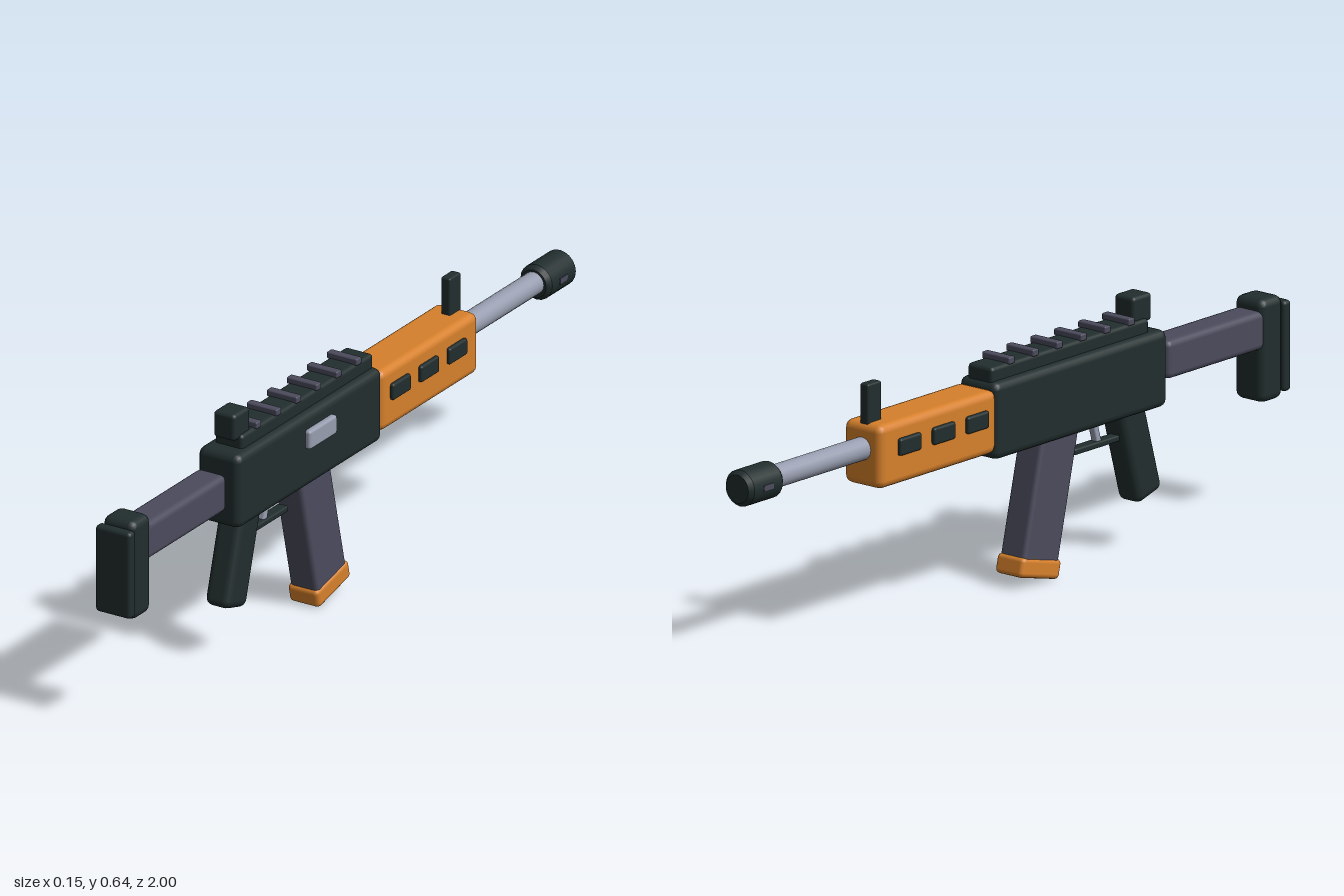
import * as THREE from 'three';
import { RoundedBoxGeometry } from 'three/addons/geometries/RoundedBoxGeometry.js';

function material(name, color) {
  const m = new THREE.MeshStandardMaterial({ color });
  m.name = name;
  return m;
}

export function createModel() {
  const model = new THREE.Group();
  model.name = 'rifle';
  const dark = material('darkGreenBlack', 0x212d2d);
  const slate = material('slatePurple', 0x4b4b5d);
  const orange = material('orange', 0xd6802b);
  const steel = material('lightSteel', 0x979daf);
  const CX = -0.0035; // centre plane, offset by the one-sided ejection port

  function add(name, geometry, mat, x, y, z, tilt = 0) {
    const mesh = new THREE.Mesh(geometry, mat);
    mesh.name = name;
    mesh.position.set(CX + x, y, z);
    mesh.rotation.x = tilt;
    model.add(mesh);
    return mesh;
  }
  // Rounded block: size, edge radius, centre, tilt about x
  function block(name, mat, [w, h, d], r, [x, y, z], tilt) {
    return add(name, new RoundedBoxGeometry(w, h, d, 2, r), mat, x, y, z, tilt);
  }

  // Receiver and ejection port
  block('receiver', dark, [0.123, 0.194, 0.64], 0.02, [0, 0.456, 0.211]);
  block('ejectionPort', steel, [0.03, 0.05, 0.123], 0.008, [0.061, 0.49, 0.176]);

  // Top rail with cross slats
  block('rail', dark, [0.08, 0.045, 0.584], 0.01, [0, 0.565, 0.192]);
  for (let i = 0; i < 6; i++) {
    block('railSlat', slate, [0.088, 0.018, 0.022], 0.004, [0, 0.593, -0.03 + i * 0.089]);
  }

  // Sights
  block('rearSight', dark, [0.063, 0.07, 0.07], 0.01, [0, 0.611, 0.47]);
  block('frontSight', dark, [0.027, 0.115, 0.05], 0.005, [0, 0.577, -0.504]);

  // Handguard with three vents on each side
  block('handguard', orange, [0.12, 0.16, 0.435], 0.02, [0, 0.458, -0.32]);
  for (const side of [-1, 1]) {
    for (let i = 0; i < 3; i++) {
      block('handguardVent', dark, [0.02, 0.043, 0.08], 0.006, [side * 0.06, 0.474, -0.182 - i * 0.1255]);
    }
  }

  // Barrel
  const barrel = new THREE.CylinderGeometry(0.029, 0.029, 0.4, 20).rotateX(Math.PI / 2);
  add('barrel', barrel, steel, 0, 0.474, -0.7);

  // Muzzle brake with bevelled ends; doubled points keep the edges crisp
  const profile = [
    [0, -0.064], [0.036, -0.064], [0.036, -0.064], [0.046, -0.052], [0.046, -0.052],
    [0.046, 0.052], [0.046, 0.052], [0.036, 0.064], [0.036, 0.064], [0, 0.064],
  ].map(([r, y]) => new THREE.Vector2(r, y));
  add('muzzleBrake', new THREE.LatheGeometry(profile, 20).rotateX(-Math.PI / 2), dark, 0, 0.472, -0.936);
  for (const side of [-1, 1]) {
    add('muzzlePort', new THREE.BoxGeometry(0.008, 0.016, 0.035), slate, side * 0.043, 0.471, -0.935);
  }

  // Stock
  block('stockTube', slate, [0.084, 0.097, 0.37], 0.016, [0, 0.464, 0.737]);
  block('stockButt', dark, [0.094, 0.26, 0.08], 0.02, [0, 0.411, 0.936]);
  block('buttPad', dark, [0.102, 0.228, 0.028], 0.01, [0, 0.41, 0.986]);

  // Pistol grip, trigger and guard
  block('pistolGrip', dark, [0.072, 0.27, 0.095], 0.02, [0, 0.264, 0.461], -0.28);
  block('triggerGuard', dark, [0.03, 0.016, 0.177], 0.005, [0, 0.298, 0.327]);
  block('trigger', steel, [0.02, 0.08, 0.018], 0.005, [0, 0.338, 0.324], -0.28);

  // Magazine and its base plate
  block('magazine', slate, [0.08, 0.36, 0.135], 0.012, [0, 0.23, 0.125], 0.235);
  block('magazineBase', orange, [0.088, 0.05, 0.148], 0.012, [0, 0.045, 0.081], 0.235);

  return model;
}
